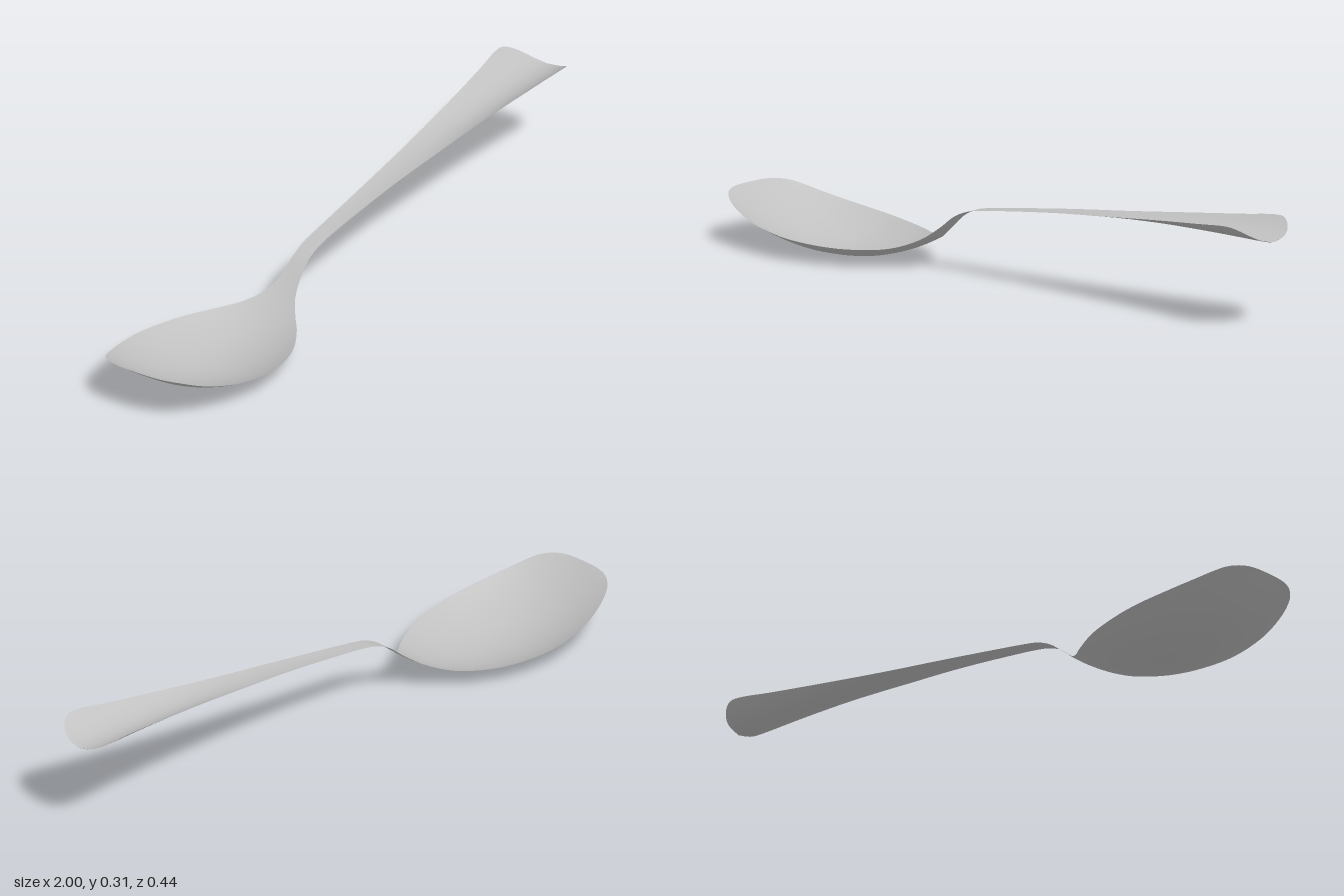
import * as THREE from 'three';

// Stations from bowl tip to handle end: x, half width, centre line height, rim height
const STATIONS = [
  [-1, 0, 0.148, 0.148], [-0.997, 0.06, 0.146, 0.147], [-0.985, 0.1, 0.137, 0.144],
  [-0.96, 0.135, 0.119, 0.136], [-0.93, 0.157, 0.099, 0.124], [-0.88, 0.18, 0.069, 0.107],
  [-0.8, 0.205, 0.034, 0.087], [-0.7, 0.219, 0.008, 0.071], [-0.62, 0.215, 0.001, 0.062],
  [-0.5, 0.184, 0.009, 0.055], [-0.4, 0.128, 0.036, 0.057], [-0.35, 0.088, 0.058, 0.067],
  [-0.3, 0.051, 0.087, 0.09], [-0.25, 0.032, 0.125, 0.126], [-0.2, 0.026, 0.165, 0.165],
  [-0.15, 0.026, 0.187, 0.187], [-0.1, 0.026, 0.197, 0.197], [0, 0.029, 0.21, 0.211],
  [0.2, 0.038, 0.233, 0.236], [0.4, 0.052, 0.25, 0.257], [0.6, 0.07, 0.259, 0.279],
  [0.8, 0.094, 0.262, 0.3], [0.9, 0.108, 0.262, 0.311], [0.935, 0.108, 0.262, 0.31],
  [0.96, 0.096, 0.262, 0.3], [0.98, 0.076, 0.262, 0.286], [0.993, 0.048, 0.262, 0.272],
  [1, 0, 0.262, 0.262],
];
const STEPS = 5;    // rows between two stations
const COLS = 28;    // strips across the sheet
const NECK = 14;    // station where the bowl meets the handle

export function createModel() {
  const silver = new THREE.MeshStandardMaterial({ color: 0xc0c0c0, side: THREE.DoubleSide });
  silver.name = 'silver';

  const centre = new THREE.CatmullRomCurve3(STATIONS.map(([x, , c]) => new THREE.Vector3(x, c, 0)));
  const rim = new THREE.CatmullRomCurve3(STATIONS.map(([x, w, , e]) => new THREE.Vector3(x, e, w)));
  const rows = (STATIONS.length - 1) * STEPS;

  // Every cross-section is a parabola from rim to rim through the centre line
  const positions = [];
  for (let i = 0; i <= rows; i++) {
    const c = centre.getPoint(i / rows);
    const e = rim.getPoint(i / rows);
    for (let j = 0; j <= COLS; j++) {
      const s = (j / COLS) * 2 - 1;
      const p = c.clone().lerp(e, s * s);
      positions.push(p.x, p.y, e.z * s);
    }
  }

  const strip = (from, to) => {
    const index = [];
    for (let i = from; i < to; i++) {
      for (let j = 0; j < COLS; j++) {
        const a = i * (COLS + 1) + j;
        const b = a + COLS + 1;
        index.push(a, a + 1, b, a + 1, b + 1, b);
      }
    }
    return index;
  };

  // Normals come from the whole sheet, so bowl and handle join smoothly
  const sheet = new THREE.BufferGeometry();
  sheet.setAttribute('position', new THREE.Float32BufferAttribute(positions, 3));
  sheet.setIndex(strip(0, rows));
  sheet.computeVertexNormals();

  const group = new THREE.Group();
  group.name = 'spoon';
  const addPart = (name, from, to) => {
    const geometry = sheet.clone();
    geometry.setIndex(strip(from, to));
    const mesh = new THREE.Mesh(geometry, silver);
    mesh.name = name;
    group.add(mesh);
  };
  addPart('bowl', 0, NECK * STEPS);
  addPart('handle', NECK * STEPS, rows);
  return group;
}
